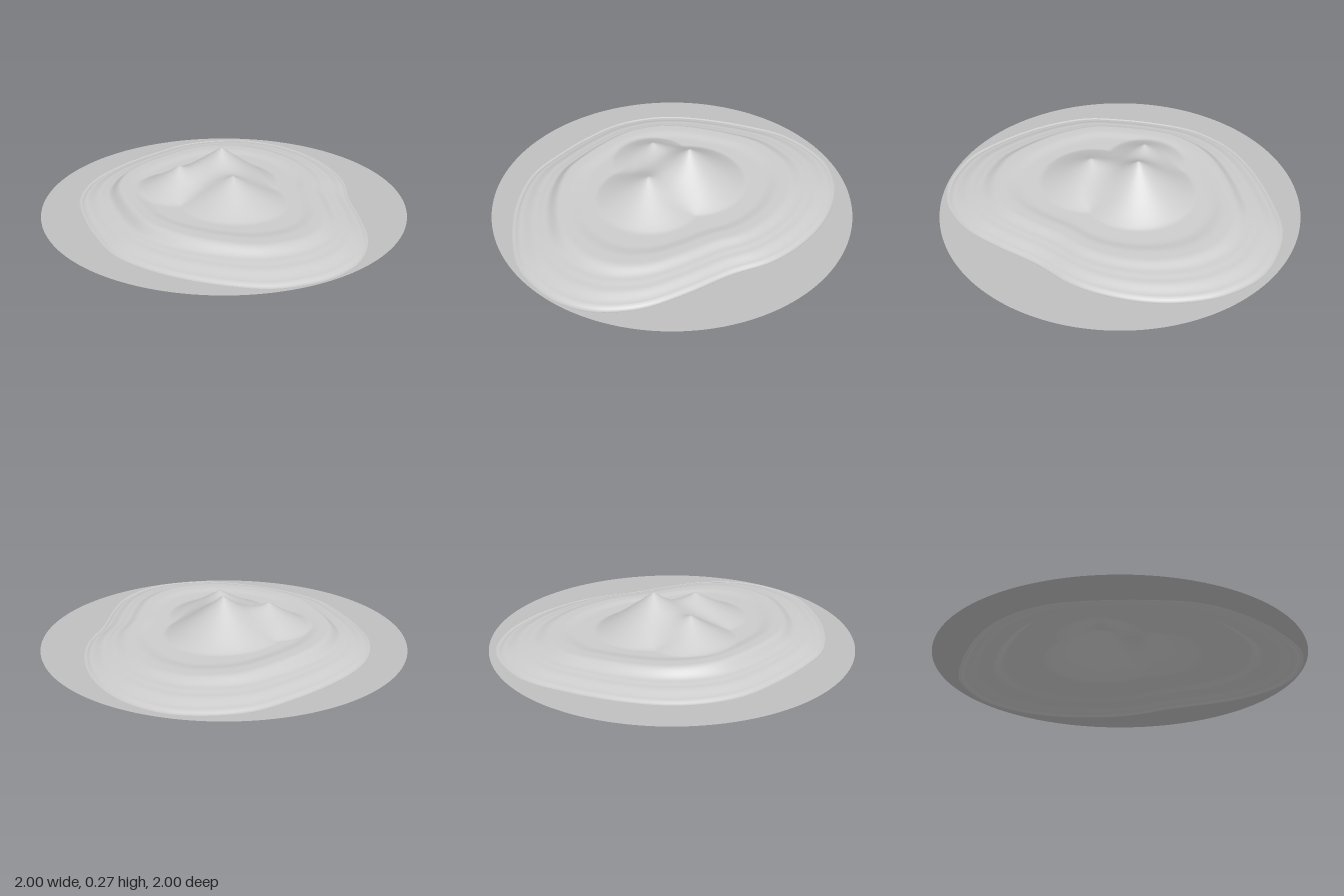
import * as THREE from 'three';

// Shoreline, as x, z pairs running left, back, right, front
const SHORE = [
  [-0.83, -0.2], [-0.8, -0.47], [-0.62, -0.74], [-0.4, -0.85], [-0.2, -0.87], [0, -0.84],
  [0.2, -0.76], [0.35, -0.66], [0.5, -0.5], [0.7, -0.33], [0.85, -0.18], [0.93, -0.04],
  [0.965, 0.08], [0.96, 0.24], [0.915, 0.37], [0.82, 0.52], [0.6, 0.68], [0.35, 0.79],
  [0.1, 0.83], [-0.1, 0.79], [-0.35, 0.7], [-0.55, 0.59], [-0.68, 0.45], [-0.76, 0.3], [-0.81, 0.1],
];

// Peaks: x, z, height above the inner floor, foot radius
const PEAKS = [
  [-0.09, -0.07, 0.208, 0.32],
  [0.15, 0.08, 0.145, 0.29],
  [-0.17, 0.18, 0.132, 0.24],
];

const SEGMENTS = 220;
const RINGS = 80;
const SEA_LEVEL = 0.006;

// Terraced height: s is 0 at the middle and 1 at the shore
function landHeight(x, z, s) {
  const rim = 0.078 - 0.011 * x + 0.025 * z;
  const floor = rim - 0.01;
  const steps = [
    [0, floor], [0.56, floor], [0.65, rim], [0.71, rim], [0.8, 0.045],
    [0.86, 0.037], [0.96, 0.014], [0.9875, 0], [1, SEA_LEVEL],
  ];
  let k = 1;
  while (k < steps.length - 1 && s > steps[k][0]) k++;
  const [s0, y0] = steps[k - 1];
  const [s1, y1] = steps[k];
  const base = THREE.MathUtils.lerp(y0, y1, THREE.MathUtils.smoothstep(s, s0, s1));

  // Blend the cones so that ridges form between them
  let sum = 0;
  for (const [px, pz, h, r] of PEAKS) {
    const t = Math.max(0, 1 - Math.hypot(x - px, z - pz) / r);
    sum += (h * t ** 1.15) ** 2;
  }
  return base + Math.sqrt(sum);
}

// Closed rings of vertices joined into a surface that faces up
function ringSurface(rings, count, pointAt) {
  const positions = [];
  const index = [];
  for (let i = 0; i <= rings; i++) {
    for (let j = 0; j < count; j++) positions.push(...pointAt(i / rings, j));
  }
  for (let i = 0; i < rings; i++) {
    for (let j = 0; j < count; j++) {
      const a = i * count + j;
      const b = i * count + ((j + 1) % count);
      if (i > 0) index.push(a, b, a + count);
      index.push(b, b + count, a + count);
    }
  }
  const geometry = new THREE.BufferGeometry();
  geometry.setAttribute('position', new THREE.Float32BufferAttribute(positions, 3));
  geometry.setIndex(index);
  geometry.computeVertexNormals();
  return geometry;
}

export function createModel() {
  const group = new THREE.Group();
  group.name = 'island';

  const rock = new THREE.MeshStandardMaterial({ color: 0xcccccc, side: THREE.DoubleSide });
  rock.name = 'pale grey rock';
  const sea = new THREE.MeshStandardMaterial({ color: 0xc0c0c0, side: THREE.DoubleSide });
  sea.name = 'grey sea';

  const curve = new THREE.CatmullRomCurve3(
    SHORE.map(([x, z]) => new THREE.Vector3(x, 0, z)), true, 'centripetal');
  const shore = curve.getSpacedPoints(SEGMENTS).slice(0, SEGMENTS);

  // Terraced land with three peaks
  const land = new THREE.Mesh(ringSurface(RINGS, SEGMENTS, (s, j) => {
    const x = shore[j].x * s;
    const z = shore[j].z * s;
    return [x, landHeight(x, z, s), z];
  }), rock);
  land.name = 'terracedLand';

  // Flat sea from the shore out to the round edge
  const water = new THREE.Mesh(ringSurface(2, SEGMENTS, (t, j) => {
    const { x, z } = shore[j];
    const k = THREE.MathUtils.lerp(1, 1 / Math.hypot(x, z), t);
    return [x * k, SEA_LEVEL, z * k];
  }), sea);
  // The first ring is not a single point here, so fill in its missing triangles
  const index = Array.from(water.geometry.index.array);
  for (let j = 0; j < SEGMENTS; j++) index.push(j, (j + 1) % SEGMENTS, j + SEGMENTS);
  water.geometry.setIndex(index);
  water.geometry.computeVertexNormals();
  water.name = 'seaDisc';

  group.add(land, water);
  return group;
}
